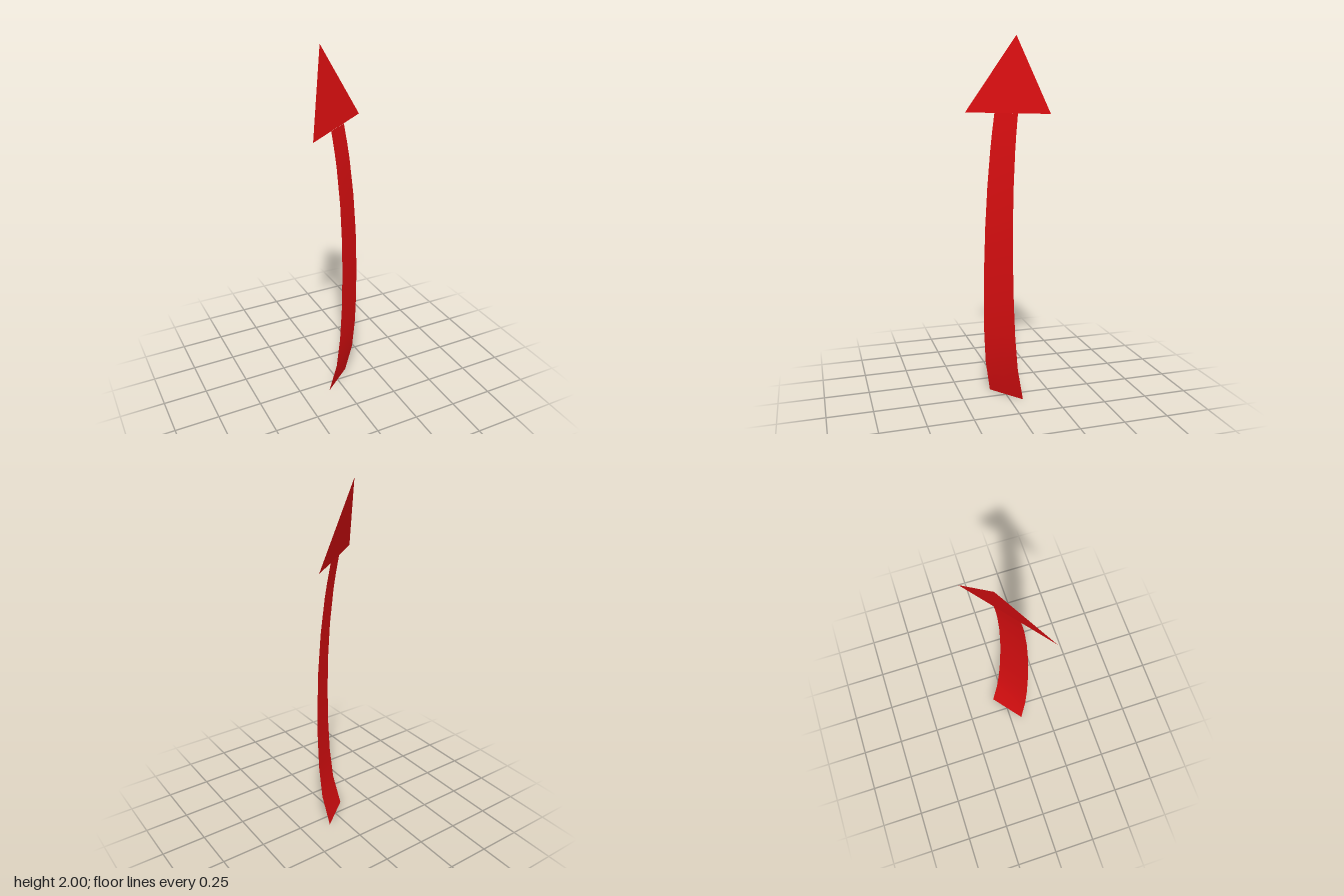
import * as THREE from 'three';

// Side profile of the shaft, bottom to top: [height, forward bow]
const PROFILE = [
  [0, 0], [0.19, 0.046], [0.38, 0.065], [0.58, 0.073], [0.78, 0.0735],
  [0.98, 0.069], [1.2, 0.055], [1.4, 0.033], [1.48, 0.021], [1.592, 0.001],
];
const HEAD_Y = 1.592;

const lerp = THREE.MathUtils.lerp;

export function createModel() {
  const red = new THREE.MeshStandardMaterial({ color: 0xd80e10, side: THREE.DoubleSide });
  const arrow = new THREE.Group();
  arrow.name = 'arrow';

  // Shaft: a thin ribbon, bowed forward and narrowing towards the head
  const rows = PROFILE.length - 1;
  const shaftGeometry = new THREE.PlaneGeometry(2, 1, 2, rows);
  const pos = shaftGeometry.attributes.position;
  for (let i = 0; i < pos.count; i++) {
    const row = Math.round((pos.getY(i) + 0.5) * rows);
    const [y, z] = PROFILE[row];
    pos.setXYZ(i, pos.getX(i) * lerp(0.115, 0.076, y / HEAD_Y), y, z);
  }
  shaftGeometry.computeVertexNormals();
  const shaft = new THREE.Mesh(shaftGeometry, red);
  shaft.name = 'shaft';

  // Head: a flat triangle hinged at its base and leaning back
  const rise = 2 - HEAD_Y, lean = 0.096;
  const outline = new THREE.Shape()
    .moveTo(-0.276, 0)
    .lineTo(0.276, 0)
    .lineTo(0, Math.hypot(rise, lean));
  const head = new THREE.Mesh(new THREE.ShapeGeometry(outline), red);
  head.name = 'arrowHead';
  head.position.y = HEAD_Y;
  head.rotation.x = -Math.atan2(lean, rise);

  arrow.add(shaft, head);
  // The whole arrow is turned towards its left
  arrow.rotation.y = 0.676;

  const model = new THREE.Group();
  model.name = 'curvedArrow';
  model.add(arrow);
  return model;
}
